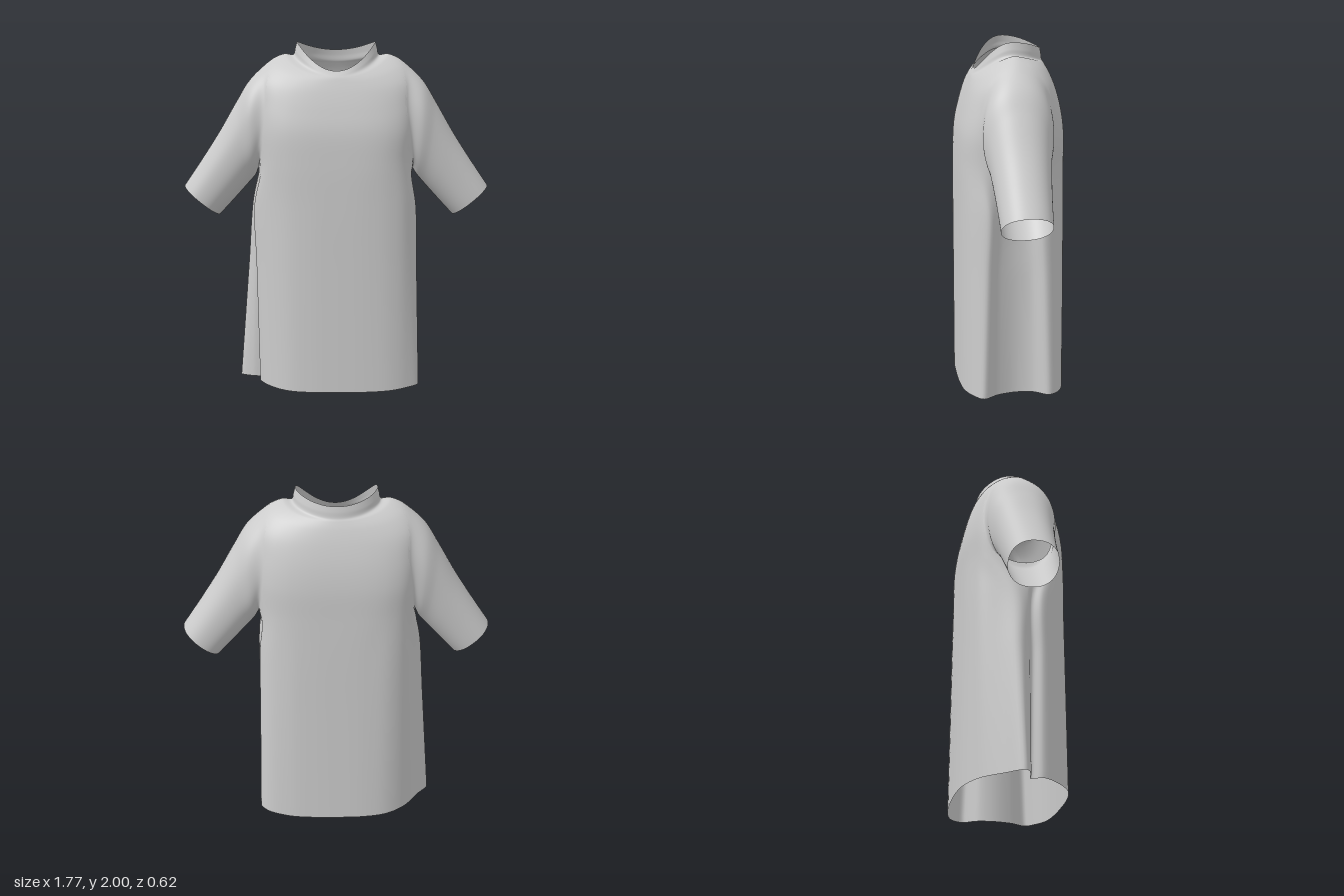
import * as THREE from 'three';

const V = (x, y, z) => new THREE.Vector3(x, y, z);
const pow = (v, e) => Math.sign(v) * Math.pow(Math.abs(v), e);
const N = 24; // control points per ring

// Smooth surface through closed control rings; u and v count control points
function surface(rings) {
  const curves = rings.map(r => new THREE.CatmullRomCurve3(r, true));
  const column = u => new THREE.CatmullRomCurve3(curves.map(c => c.getPoint((u / N) % 1)));
  return { column, last: rings.length - 1 };
}

// Mesh a surface, leaving out the cells for which isHole(u, v) holds
function meshSurface({ column, last }, around, perRing, isHole = () => false) {
  const rows = last * perRing, pos = [], index = [];
  for (let i = 0; i < around; i++) {
    const curve = column(i / around * N);
    const a = i * (rows + 1), b = ((i + 1) % around) * (rows + 1);
    for (let j = 0; j <= rows; j++) {
      const p = curve.getPoint(j / rows);
      pos.push(p.x, p.y, p.z);
      if (j === rows || isHole((i + .5) / around * N, (j + .5) / perRing)) continue;
      index.push(a + j, b + j, b + j + 1, a + j, b + j + 1, a + j + 1);
    }
  }
  const g = new THREE.BufferGeometry();
  g.setAttribute('position', new THREE.Float32BufferAttribute(pos, 3));
  g.setIndex(index);
  g.computeVertexNormals();
  return g;
}

// One point for each angle around a ring
const around = fn => Array.from({ length: N }, (_, i) => fn(i / N * Math.PI * 2));

// Rounded ring whose height differs at the sides, front and back
function ring(halfX, ySide, yFront, zFront, yBack, zBack, e, dip = 1.4) {
  return around(t => {
    const c = Math.cos(t), front = c > 0, f = Math.pow(Math.abs(c), dip);
    return V(halfX * pow(Math.sin(t), e),
      ySide + ((front ? yFront : yBack) - ySide) * f,
      (front ? zFront : zBack) * Math.pow(Math.abs(c), e));
  });
}

// Outlines (x, z) at the hem and below the underarm, with folds at both sides
const HEM = [
  [0, .31], [.18, .305], [.31, .288], [.41, .25], [.48, .195], [.425, .11],
  [.39, 0], [.405, -.1], [.468, -.18], [.42, -.245], [.29, -.29], [.16, -.305],
  [0, -.31], [-.17, -.305], [-.3, -.28], [-.41, -.215], [-.5, -.1], [-.572, -.005],
  [-.5, .035], [-.432, .045], [-.452, .11], [-.385, .21], [-.28, .28], [-.15, .305],
];
const UPPER = [
  [0, .306], [.18, .3], [.3, .28], [.39, .24], [.455, .16], [.415, .09],
  [.395, 0], [.4, -.08], [.442, -.15], [.395, -.23], [.28, -.285], [.16, -.302],
  [0, -.306], [-.17, -.3], [-.3, -.28], [-.385, -.23], [-.445, -.13], [-.488, -.03],
  [-.475, .03], [-.455, .06], [-.472, .12], [-.41, .205], [-.3, .272], [-.17, .3],
];
const UPPER_Y = 1.08;

// Armhole loops on the body surface: centre v, radius v, radius u
const ARMHOLES = [[6, 2.4, 2.6], [5.85, 2.05, 2.2]];

// Sleeve stations: upper x, y, lower x, y, half depth
const STATIONS = [
  [.5, 1.78, .468, 1.235, .192],
  [.58, 1.652, .505, 1.192, .172],
  [.68, 1.48, .555, 1.136, .157],
  [.78, 1.325, .615, 1.07, .146],
  [.885, 1.17, .68, 1, .138],
];

export function createModel() {
  const group = new THREE.Group();
  const fabric = new THREE.MeshStandardMaterial({ color: 0xcccccc, side: THREE.DoubleSide });
  fabric.name = 'light grey fabric';
  const add = (name, geometry) => {
    const m = new THREE.Mesh(geometry, fabric);
    m.name = name;
    group.add(m);
  };

  // Draped lower half, from the hem to just below the underarm
  const draped = [0, 1 / 3, 2 / 3, 1].map(k => HEM.map(([x, z], i) => {
    const [ux, uz] = UPPER[i];
    const lift = .015 * Math.min(1, Math.pow(x / .45, 4)) * (1 - k);
    return V(x + (ux - x) * k, UPPER_Y * k + lift, z + (uz - z) * k);
  }));

  // Body with rounded shoulders and a standing collar that dips at the front
  const body = surface([
    ...draped,
    ring(.448, 1.32, 1.32, .302, 1.32, -.303, .6),
    ring(.455, 1.52, 1.5, .291, 1.5, -.3, .58),
    ring(.455, 1.68, 1.62, .266, 1.63, -.284, .62),
    ring(.445, 1.805, 1.72, .238, 1.75, -.255, .7),
    ring(.39, 1.885, 1.775, .219, 1.83, -.227, .83),
    ring(.3, 1.93, 1.8, .209, 1.87, -.208, .95),
    ring(.246, 1.927, 1.812, .202, 1.885, -.2, 1, 1.6),
    ring(.236, 1.962, 1.824, .194, 1.918, -.196, 1, 1.8),
    ring(.226, 2, 1.838, .185, 1.95, -.19, 1, 2),
  ]);
  const [cv, rv, ru] = ARMHOLES[0];
  const inArmhole = (u, v) =>
    [6, 18].some(side => Math.hypot((u - side) / ru, (v - cv) / rv) < .94);
  add('shirtBody', meshSurface(body, 144, 9, inArmhole));

  // Sleeves start flush with the body around the armhole, then taper to the cuff
  for (const s of [1, -1]) {
    const roots = ARMHOLES.map(([v, radiusV, radiusU]) => around(t =>
      body.column(12 - 6 * s - radiusU * Math.sin(t))
        .getPoint((v + radiusV * Math.cos(t)) / body.last)));
    const tube = STATIONS.map(([ux, uy, lx, ly, w]) => around(t => {
      const c = pow(Math.cos(t), .9);
      return V(s * ((ux + lx) / 2 + (ux - lx) / 2 * c),
        (uy + ly) / 2 + (uy - ly) / 2 * c,
        s * w * pow(Math.sin(t), .9));
    }));
    add(s > 0 ? 'leftSleeve' : 'rightSleeve', meshSurface(surface([...roots, ...tube]), 72, 7));
  }
  return group;
}
